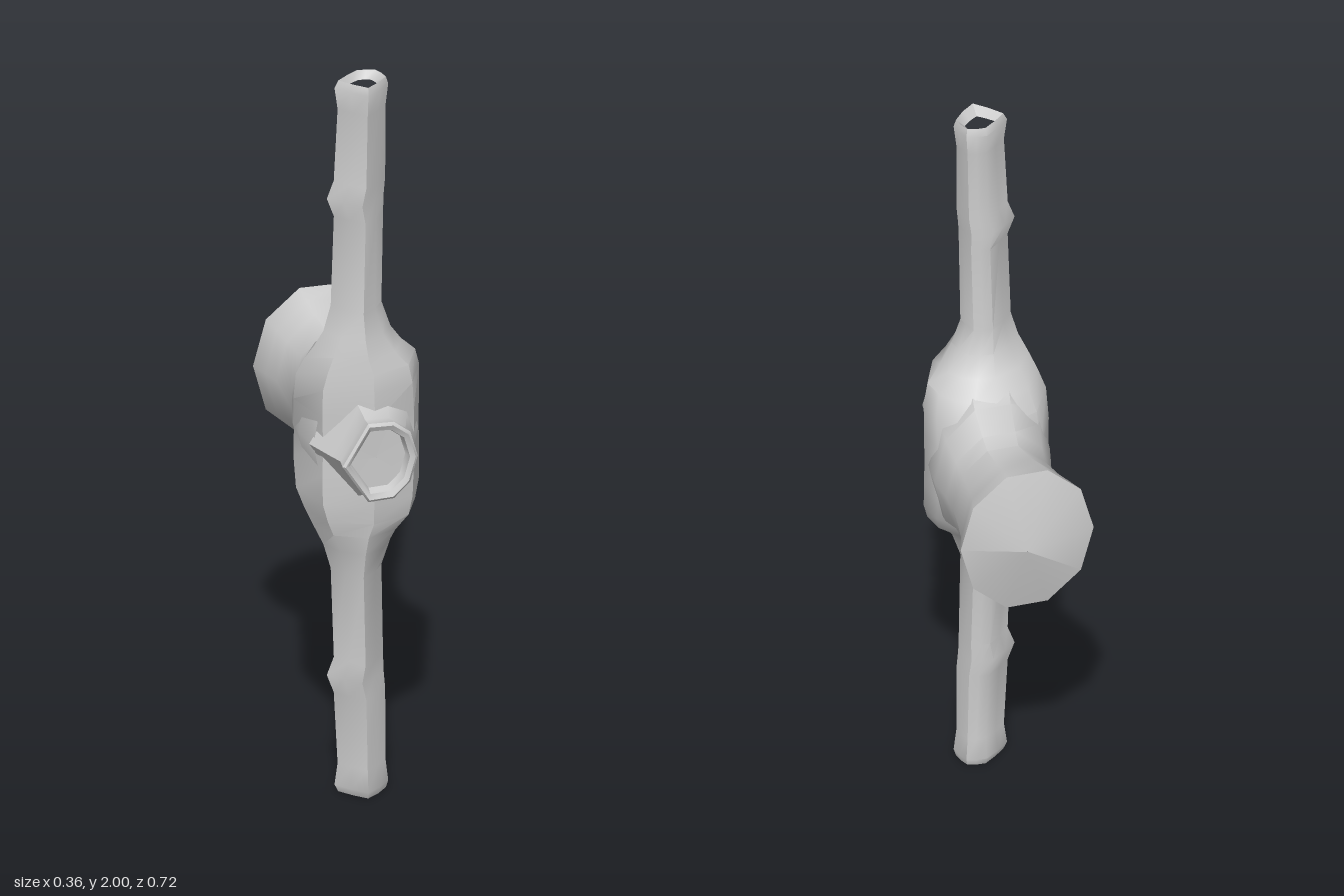
import * as THREE from 'three';
import { toCreasedNormals } from 'three/addons/utils/BufferGeometryUtils.js';

const material = new THREE.MeshStandardMaterial({ color: 0xcccccc });

// Skin a list of rings (arrays of [x, y, z]) into one surface
function loft(name, rings) {
  const n = rings[0].length, index = [];
  for (let i = 0; i < rings.length - 1; i++) {
    for (let j = 0; j < n; j++) {
      const a = i * n + j, b = i * n + (j + 1) % n;
      index.push(a, a + n, b, b, a + n, b + n);
    }
  }
  const geo = new THREE.BufferGeometry();
  geo.setAttribute('position', new THREE.Float32BufferAttribute(rings.flat(2), 3));
  geo.setIndex(index);
  const mesh = new THREE.Mesh(toCreasedNormals(geo, 0.75), material);
  mesh.name = name;
  return mesh;
}

// Irregular pentagon with edge midpoints, in -1..1
const PENTAGON = [[-1, -0.14], [-0.52, -0.6], [0, -1], [0.4, -0.97], [0.75, -0.85],
  [0.92, -0.42], [1, 0], [0.55, 0.55], [0, 1], [-0.53, 0.46]];

// Horizontal section fitted to bounds; round blends pentagon to ellipse
function pipeRing([y, x0, x1, z0, z1, round = 0]) {
  return PENTAGON.map(([u, v]) => {
    const k = 1 + round * (1 / Math.hypot(u, v) - 1);
    return [(x0 + x1) / 2 + u * k * (x1 - x0) / 2, y, (z0 + z1) / 2 + v * k * (z1 - z0) / 2];
  });
}

// Upright section fitted to bounds, clockwise seen from the front
function bodyRing([z, x0, x1, y0, y1], n = 10) {
  return Array.from({ length: n }, (_, j) => {
    const t = -j / n * Math.PI * 2;
    return [(x0 + x1) / 2 + Math.cos(t) * (x1 - x0) / 2,
      (y0 + y1) / 2 + Math.sin(t) * (y1 - y0) / 2 * 1.05, z];
  });
}

export function createModel() {
  const model = new THREE.Group();

  // Vertical pipe with open ends, swelling into the hub; mirrored about y = 1
  const upper = [
    [1, -0.175, 0.15, -0.08, 0.285, 1],
    [1.08, -0.178, 0.15, -0.07, 0.285, 1],
    [1.16, -0.177, 0.145, -0.03, 0.282, 1],
    [1.21, -0.16, 0.13, 0.01, 0.275, 1],
    [1.25, -0.143, 0.09, 0.06, 0.268, 0.8],
    [1.3, -0.12, 0.055, 0.095, 0.26, 0.5],
    [1.37, -0.1, 0.032, 0.105, 0.245, 0.2],
    [1.62, -0.092, 0.036, 0.11, 0.242],
    [1.67, -0.11, 0.038, 0.108, 0.24],
    [1.72, -0.092, 0.042, 0.112, 0.238],
    [1.92, -0.082, 0.043, 0.118, 0.231],
    [1.98, -0.09, 0.05, 0.11, 0.24],
    [2, -0.08, 0.044, 0.118, 0.23],
    [1.98, -0.06, 0.022, 0.135, 0.2],
  ];
  const lower = upper.slice(1).reverse().map(([y, ...rest]) => [2 - y, ...rest]);
  model.add(loft('verticalPipe', [...lower, ...upper].map(pipeRing)));

  // Rear neck flaring out to the back rim
  model.add(loft('rearNeck', [
    [-0.305, -0.178, 0.178, 0.795, 1.205],
    [-0.25, -0.16, 0.16, 0.81, 1.19],
    [-0.2, -0.145, 0.152, 0.826, 1.174],
    [-0.12, -0.126, 0.143, 0.84, 1.16],
    [-0.07, -0.138, 0.145, 0.832, 1.168],
    [0, -0.157, 0.155, 0.795, 1.205],
    [0.06, -0.172, 0.15, 0.77, 1.23],
    [0.12, -0.172, 0.138, 0.74, 1.26],
    [0.2, -0.155, 0.105, 0.78, 1.22],
  ].map((r) => bodyRing(r))));

  // Shallow cone closing the back
  model.add(loft('backCap', [
    [-0.36, 0.014, 0.016, 0.999, 1.001],
    [-0.305, -0.178, 0.178, 0.795, 1.205],
  ].map((r) => bodyRing(r))));

  // Front nozzle: slanted rim around a shallow recess
  const outline = [[-0.12, 1], [-0.085, 0.945], [-0.05, 0.89], [0.02, 0.89], [0.065, 0.93],
    [0.085, 1], [0.065, 1.07], [0.02, 1.105], [-0.05, 1.11], [-0.085, 1.055]].reverse();
  const nozzle = [[0.18, 1.45], [0.27, 1.12], [0.31, 0.96], [0.345, 1], [0.352, 0.93],
    [0.345, 0.8], [0.32, 0.74], [0.318, 0.01]];
  model.add(loft('frontNozzle', nozzle.map(([z, s]) =>
    outline.map(([x, y]) => [-0.02 + (x + 0.02) * s, 1 + (y - 1) * s, z - 0.1 * (x + 0.02) * s]))));

  return model;
}
